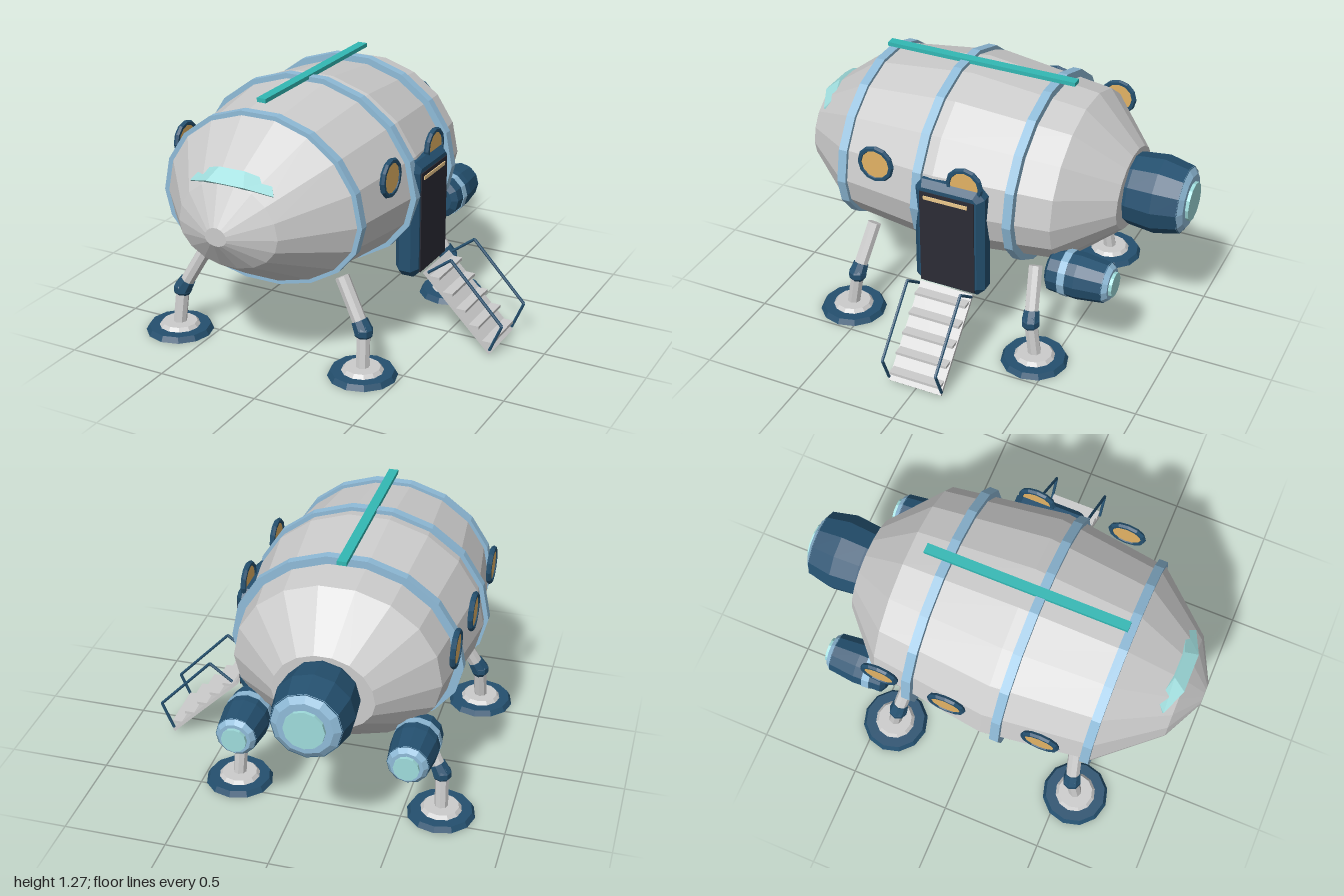
import * as THREE from 'three';

const mat = (color) => new THREE.MeshStandardMaterial({ color, flatShading: true, side: THREE.DoubleSide });
const M = {
  hull: mat(0xdcdee0), grey: mat(0xcccccc), navy: mat(0x24506f), blue: mat(0x8fbbd8), teal: mat(0x32b8b4),
  glass: mat(0x9fdcdc), amber: mat(0xe2b264), dark: mat(0x2b2b35), cream: mat(0xecc98c),
};
const CX = -0.175, CY = 0.75; // hull axis
const V = (x, y, z) => new THREE.Vector3(x, y, z);

function add(parent, name, geo, material, x = 0, y = 0, z = 0) {
  const m = new THREE.Mesh(geo, material);
  m.name = name;
  m.position.set(x, y, z);
  parent.add(m);
  return m;
}

// Surface of revolution along z from [radius, z] points in order of rising z
function turned(points, sides, phase = 0) {
  const g = new THREE.LatheGeometry(points.map(([r, z]) => new THREE.Vector2(r, z)), sides, phase);
  return g.rotateX(Math.PI / 2);
}

// 18-sided hull section: taller above the axis than below it
function hullForm(points) {
  const g = turned(points, 18, Math.PI / 2), p = g.attributes.position;
  for (let i = 0; i < p.count; i++) p.setY(i, p.getY(i) * (p.getY(i) > 0 ? 0.89 : 0.7));
  return g;
}

// Straight rod between two points
function rod(parent, name, a, b, r, sides, material, r2 = r) {
  const d = b.clone().sub(a);
  const m = add(parent, name, new THREE.CylinderGeometry(r2, r, d.length(), sides), material);
  m.position.copy(a).addScaledVector(d, 0.5);
  m.quaternion.setFromUnitVectors(V(0, 1, 0), d.normalize());
  return m;
}

// Curved windshield strip lofted over four stations
function windshieldGeometry() {
  const half = [
    [[0.215, 0.935, 0.86], [0.18, 0.985, 0.815]],
    [[0.095, 0.972, 0.912], [0.065, 1.024, 0.85]],
  ];
  const flip = (s) => s.map(([x, y, z]) => [-x, y, z]);
  const loops = [flip(half[0]), flip(half[1]), half[1], half[0]].map(([b, t]) => {
    const inner = ([x, y, z]) => [x * 0.95, y - 0.025, z - 0.025];
    return [b, t, inner(t), inner(b)];
  });
  const pos = loops.flat(2), idx = [];
  for (let s = 0; s < 3; s++) for (let j = 0; j < 4; j++) {
    const a = s * 4 + j, d = s * 4 + (j + 1) % 4;
    idx.push(a, a + 4, d + 4, a, d + 4, d);
  }
  idx.push(0, 1, 2, 0, 2, 3, 12, 14, 13, 12, 15, 14);
  const g = new THREE.BufferGeometry();
  g.setAttribute('position', new THREE.Float32BufferAttribute(pos, 3));
  g.setIndex(idx);
  g.computeVertexNormals();
  return g;
}

// Thruster pod pointing to -z; its front end sits at the group's origin
function thruster(name, r, len, glassR, frontR) {
  const g = new THREE.Group();
  g.name = name;
  add(g, 'thrusterBody', turned([[0, -len * 0.93], [r * 0.86, -len * 0.93], [r, -len * 0.5],
    [r * 0.93, -len * 0.06], [frontR, 0], [0, 0]], 12), M.navy);
  add(g, 'thrusterRim', turned([[0, -len], [r * 0.68, -len], [r * 0.87, -len * 0.92], [0, -len * 0.92]], 12), M.blue);
  add(g, 'thrusterGlow', turned([[0, -len - 0.016], [glassR, -len - 0.016], [glassR, -len], [0, -len]], 12), M.glass);
  return g;
}

function landingLeg(sx, sz) {
  const g = new THREE.Group();
  g.name = 'landingLeg';
  const at = (x, y, z) => V(CX + sx * x, y, 0.08 + sz * z);
  const foot = at(0.503, 0, 0.497), knee = at(0.495, 0.21, 0.47), top = at(0.365, 0.445, 0.435);
  add(g, 'footPad', new THREE.CylinderGeometry(0.15, 0.165, 0.027, 12), M.navy, foot.x, 0.0135, foot.z);
  add(g, 'footPlate', new THREE.CylinderGeometry(0.085, 0.1, 0.018, 12), M.grey, foot.x, 0.036, foot.z);
  rod(g, 'lowerStrut', foot.clone().setY(0.03), knee, 0.033, 8, M.grey);
  add(g, 'kneeJoint', new THREE.SphereGeometry(0.047, 8, 5), M.navy, knee.x, knee.y, knee.z);
  rod(g, 'upperStrut', knee, top, 0.035, 8, M.grey);
  const lift = top.clone().sub(knee).multiplyScalar(0.2);
  rod(g, 'kneeCollar', knee, knee.clone().add(lift), 0.046, 8, M.navy, 0.04);
  return g;
}

function porthole(side, z, dx = 0.547) {
  const g = new THREE.Group();
  g.name = 'window';
  add(g, 'windowRim', new THREE.TorusGeometry(0.081, 0.014, 6, 12).rotateY(Math.PI / 2), M.navy);
  add(g, 'windowPane', new THREE.CylinderGeometry(0.08, 0.08, 0.014, 12).rotateZ(Math.PI / 2), M.amber);
  g.position.set(CX + side * dx, 0.92, z);
  return g;
}

function doorway() {
  const g = new THREE.Group();
  g.name = 'doorway';
  const w = 0.15, h = 0.26, c = 0.02;
  const shape = new THREE.Shape([[-w + c, -h], [w - c, -h], [w, -h + c], [w, h - c], [w - c, h], [-w + c, h],
    [-w, h - c], [-w, -h + c]].map(([x, y]) => new THREE.Vector2(x, y)));
  const frame = new THREE.ExtrudeGeometry(shape, { depth: 0.06, bevelSize: 0.03, bevelThickness: 0.03, bevelSegments: 1 });
  add(g, 'doorFrame', frame.rotateY(Math.PI / 2), M.navy, 0.317, 0.62, 0.005);
  add(g, 'doorPanel', new THREE.BoxGeometry(0.02, 0.5, 0.28), M.dark, 0.402, 0.61, 0.005);
  add(g, 'doorLight', new THREE.BoxGeometry(0.012, 0.018, 0.225), M.cream, 0.411, 0.832, 0.01);
  return g;
}

function stairs() {
  const g = new THREE.Group();
  g.name = 'stairs';
  const ramp = add(g, 'ramp', new THREE.BoxGeometry(0.495, 0.016, 0.275), M.grey, 0.602, 0.187, 0);
  ramp.rotation.z = -Math.PI / 4;
  for (let i = 0; i < 5; i++)
    add(g, 'tread', new THREE.BoxGeometry(0.055, 0.014, 0.265), M.grey, 0.478 + i * 0.0695, 0.338 - i * 0.0695, 0);
  const path = [[0.45, 0.365], [0.565, 0.452], [0.833, 0.167], [0.775, 0.03]];
  for (const z of [-0.138, 0.138])
    for (let i = 0; i < 3; i++)
      rod(g, 'handrail', V(...path[i], z), V(...path[i + 1], z), 0.0075, 6, M.navy);
  return g;
}

export function createModel() {
  const root = new THREE.Group();
  root.name = 'landingShip';

  // Hull and its raised bands
  add(root, 'hull', hullForm([[0, -0.7], [0.24, -0.7], [0.492, -0.472], [0.569, 0.1], [0.498, 0.62],
    [0.255, 0.9], [0.055, 1.0], [0, 1.0]]), M.hull, CX, CY, 0);
  for (const [z, r] of [[0.598, 0.522], [0.175, 0.584], [-0.283, 0.556]]) {
    const a = z - 0.022, b = z + 0.022;
    add(root, 'hullBand', hullForm([[r - 0.06, a], [r, a], [r, b], [r - 0.06, b]]), M.blue, CX, CY, 0);
  }
  add(root, 'roofRail', new THREE.BoxGeometry(0.046, 0.02, 0.98), M.teal, CX, 1.26, 0.1);
  add(root, 'windshield', windshieldGeometry(), M.glass, CX, 0, 0);

  // Windows
  for (const z of [0.39, -0.07]) for (const side of [-1, 1]) root.add(porthole(side, z));
  root.add(porthole(-1, -0.41, 0.535));

  // Entrance
  root.add(doorway(), stairs());

  // Thrusters
  const main = thruster('mainThruster', 0.19, 0.285, 0.095, 0.172);
  main.position.set(CX, 0.77, -0.699);
  root.add(main);
  for (const s of [-1, 1]) {
    const pod = thruster('sideThruster', 0.113, 0.313, 0.06, 0.075);
    add(pod, 'podBand', turned([[0.09, -0.112], [0.114, -0.112], [0.112, -0.075], [0.09, -0.075]], 12), M.blue);
    pod.position.set(CX + s * 0.402, 0.485, -0.445);
    root.add(pod);
  }

  // Landing gear
  for (const sx of [-1, 1]) for (const sz of [-1, 1]) root.add(landingLeg(sx, sz));
  return root;
}
